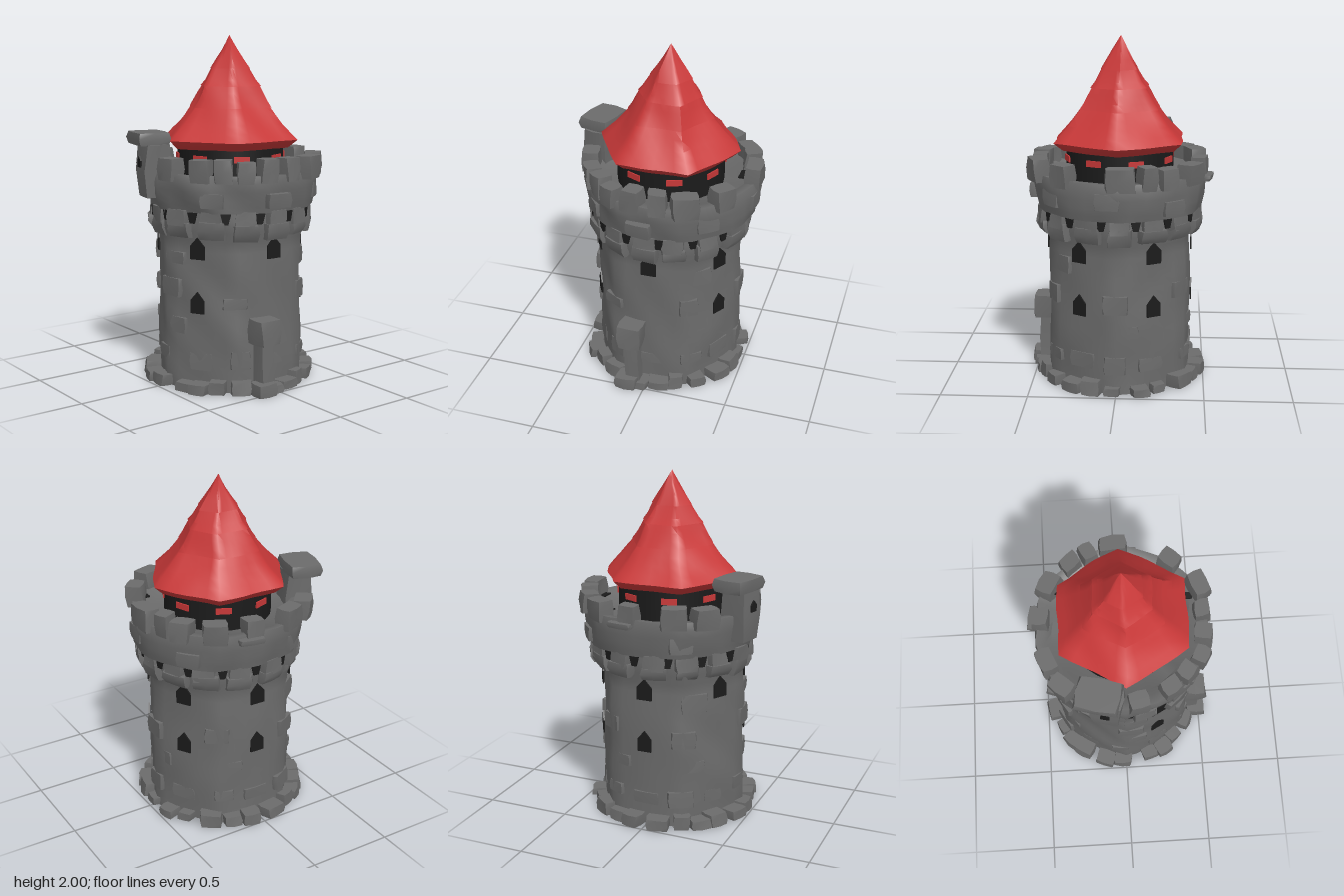
import * as THREE from 'three';
import { toCreasedNormals } from 'three/addons/utils/BufferGeometryUtils.js';

const material = (name, color) => {
  const m = new THREE.MeshStandardMaterial({ color });
  m.name = name;
  return m;
};

export function createModel() {
  const stone = material('stone grey', 0x6b6b6b);
  const red = material('roof red', 0xc83838);
  const dark = material('opening black', 0x1b1b1b);
  const tower = new THREE.Group();
  tower.name = 'tower';
  const deg = Math.PI / 180;

  let seed = 7;
  const rand = (a, b) => {
    seed = (seed * 16807) % 2147483647;
    return a + (b - a) * (seed / 2147483647);
  };

  const group = (name, z = 0) => {
    const g = new THREE.Group();
    g.name = name;
    g.position.z = z;
    tower.add(g);
    return g;
  };
  const add = (parent, name, geometry, mat) => {
    const mesh = new THREE.Mesh(geometry, mat);
    mesh.name = name;
    parent.add(mesh);
    return mesh;
  };

  // Hand-hewn unevenness: nudge vertices by a smooth wave of their position
  const weather = (geo, amp, offset, crease) => {
    const p = geo.attributes.position;
    for (let i = 0; i < p.count; i++) {
      const x = p.getX(i), y = p.getY(i), z = p.getZ(i);
      const a = Math.sin(x * 17 + y * 9 + offset) + Math.sin(z * 23 - y * 13 + offset * 2);
      const b = Math.sin(z * 15 + y * 11 - offset) + Math.sin(x * 21 + y * 19 + offset * 3);
      p.setXYZ(i, x + a * amp * 0.5, y, z + b * amp * 0.5);
    }
    return toCreasedNormals(geo, crease);
  };

  // Blend from circle to hexagon with corners on +z and -z
  const hexScale = (angle, hex) => {
    const t = (angle + Math.PI * 4) % (Math.PI / 3);
    return 1 + (Math.cos(Math.PI / 6) / Math.cos(t - Math.PI / 6) - 1) * hex;
  };

  // Revolved shell with a partly hexagonal plan
  const shell = (points, hex, amp, crease) => {
    const dense = [];
    points.forEach(([r, y], i) => {
      if (i) {
        const [r0, y0] = points[i - 1];
        const n = Math.max(1, Math.ceil(Math.abs(y - y0) / 0.07));
        for (let k = 1; k < n; k++) {
          dense.push(new THREE.Vector2(r0 + (r - r0) * k / n, y0 + (y - y0) * k / n));
        }
      }
      dense.push(new THREE.Vector2(r, y));
    });
    const geo = new THREE.LatheGeometry(dense, 36);
    const p = geo.attributes.position;
    for (let i = 0; i < p.count; i++) {
      const s = hexScale(Math.atan2(p.getX(i), p.getZ(i)), hex);
      p.setXYZ(i, p.getX(i) * s, p.getY(i), p.getZ(i) * s);
    }
    return weather(geo, amp, 0, crease);
  };

  // Rough worn block at an angle around the tower, from y0 to y1
  const block = (parent, name, angle, r, y0, y1, w, d, taper = 1, amp = 0.012) => {
    const geo = new THREE.BoxGeometry(w, y1 - y0, d, 2, 2, 2);
    const p = geo.attributes.position;
    for (let i = 0; i < p.count; i++) {
      const x = p.getX(i), y = p.getY(i), z = p.getZ(i);
      const worn = x && y && z ? 0.9 : 1;
      p.setXYZ(i, x * worn, y, z * worn * (y < 0 && z > 0 ? taper : 1));
    }
    const mesh = add(parent, name, weather(geo, amp, rand(0, 6), 0.9), stone);
    mesh.position.set(Math.sin(angle) * r, (y0 + y1) / 2, Math.cos(angle) * r);
    mesh.rotation.y = angle;
    return mesh;
  };

  // Dark opening plate, standing on its base at height y
  const opening = (parent, name, angle, r, y, outline) => {
    const s = new THREE.Shape(outline.map(([a, b]) => new THREE.Vector2(a, b)));
    const mesh = add(parent, name, new THREE.ExtrudeGeometry(s, { depth: 0.009, bevelEnabled: false }), dark);
    mesh.position.set(Math.sin(angle) * r, y, Math.cos(angle) * r);
    mesh.rotation.y = angle;
  };
  const pointed = (w, h) => [[-w / 2, 0], [w / 2, 0], [w / 2, h * 0.6], [0, h], [-w / 2, h * 0.6]];

  // Main wall with its dark underside
  const body = group('body', -0.012);
  add(body, 'wall', shell([[0.44, 0], [0.443, 0.3], [0.44, 0.62], [0.436, 0.86], [0.46, 0.92], [0.46, 1.05]],
    0.5, 0.007, 1), stone);
  const base = add(body, 'underside', new THREE.CircleGeometry(0.46, 24), dark);
  base.rotation.x = Math.PI / 2;

  // Windows: six above, four below
  const windows = group('windows', -0.012);
  for (const a of [28, 90, 150, 210, 270, 332]) opening(windows, 'upperWindow', a * deg, 0.414, 0.76, pointed(0.09, 0.125));
  for (const a of [28, 150, 210, 270]) opening(windows, 'lowerWindow', a * deg, 0.416, 0.45, pointed(0.085, 0.125));

  // Slightly raised wall stones, kept clear of the windows
  const bricks = group('wallStones', -0.012);
  for (let i = 0; i < 48; i++) {
    const row = Math.floor(i / 12);
    const a = ((i % 12) * 30 + (row % 2) * 12 + rand(-5, 5)) * deg;
    const y = 0.13 + row * 0.19 + rand(-0.03, 0.03);
    if (y > 0.3 && Math.abs(((a / deg + 360) % 60) - 30) < 17) continue;
    block(bricks, 'wallStone', a, 0.44 * hexScale(a, 0.5) - 0.012, y, y + rand(0.06, 0.11), rand(0.1, 0.16), 0.036, 1, 0.005);
  }

  // Loose footing stones with dark undersides
  const footing = group('footingStones', -0.005);
  for (let i = 0; i < 22; i++) {
    const a = (i * 360 / 22 + rand(-4, 4)) * deg;
    const w = rand(0.08, 0.13), d = rand(0.08, 0.12);
    const rock = block(footing, 'footingStone', a, rand(0.43, 0.455), 0.003, rand(0.045, 0.085), w, d, 1.1);
    const sole = add(footing, 'footingUnderside', new THREE.PlaneGeometry(w, d), dark);
    sole.position.set(rock.position.x, 0, rock.position.z);
    sole.rotation.set(Math.PI / 2, 0, -a);
  }

  // Bulging corbels with dark gaps beneath the parapet
  const corbels = group('corbels', -0.02);
  for (let i = 0; i < 15; i++) {
    const a = (i * 24 + 14 + rand(-2, 2)) * deg;
    block(corbels, 'corbel', a, 0.44, rand(0.87, 0.9), rand(0.96, 0.99), rand(0.12, 0.15), 0.075, 0.5);
    block(corbels, 'corbelTop', a, 0.435, 0.95, 1.04, 0.12, 0.075, 1.1);
    opening(corbels, 'corbelGap', (i * 24 + 2) * deg, 0.457, 0.97, [[-0.015, 0], [0.015, 0], [0.03, 0.06], [-0.03, 0.06]]);
  }

  // Flaring parapet ring and walkway
  const parapet = group('parapet', -0.03);
  parapet.position.x = -0.005;
  add(parapet, 'parapetWall', shell([[0.42, 1.03], [0.49, 1.03], [0.505, 1.1], [0.515, 1.2], [0.505, 1.24],
    [0.45, 1.235], [0.41, 1.19], [0, 1.19]], 0.25, 0.012, 0.9), stone);

  // Stones standing proud of the parapet: angle, bottom, top, radius
  [[84, 1.06, 1.14, 0.5], [-100, 1.195, 1.225, 0.51], [40, 1.06, 1.14, 0.475], [130, 1.08, 1.17, 0.475],
    [175, 1.1, 1.19, 0.485], [220, 1.05, 1.13, 0.475], [-60, 1.06, 1.15, 0.475]].forEach(([a, y0, y1, r]) =>
    block(parapet, 'parapetStone', a * deg, r, y0, y1, 0.14, 0.05, 0.9, 0.008));

  // Merlons: x, z, width
  const merlons = group('merlons', -0.03);
  [[-0.03, -0.51, 0.17], [0.29, -0.4, 0.11], [0.445, -0.235, 0.14], [0.455, -0.08, 0.11], [0.455, 0.07, 0.1],
    [0.425, 0.19, 0.1], [0.345, 0.285, 0.11], [0.25, 0.37, 0.12], [0.06, 0.445, 0.11], [-0.36, 0.325, 0.13],
    [-0.44, 0.18, 0.15], [-0.46, -0.08, 0.11], [-0.405, -0.285, 0.13], [-0.28, -0.41, 0.11], [-0.17, -0.46, 0.08]]
    .forEach(([x, z, w]) => block(merlons, 'merlon', Math.atan2(x, z + 0.03), Math.hypot(x, z + 0.03),
      1.2, rand(1.315, 1.335), w, 0.095));

  // Dark gaps at the back of the walkway: x, z, width, depth
  [[-0.04, -0.435, 0.09, 0.035], [0.29, -0.335, 0.045, 0.03], [0.39, -0.19, 0.05, 0.04], [-0.34, -0.265, 0.08, 0.05]]
    .forEach(([x, z, w, d]) => {
      const gap = add(parapet, 'walkwayGap', new THREE.BoxGeometry(w, 0.008, d), dark);
      gap.position.set(x, 1.24, z + 0.03);
    });

  // Watch box hanging on the front of the parapet
  const watch = group('watchBox');
  const wa = -0.24;
  block(watch, 'watchBoxShaft', wa, 0.455, 1.09, 1.39, 0.165, 0.16, 0.85);
  block(watch, 'watchBoxCap', wa - 0.1, 0.472, 1.385, 1.455, 0.25, 0.19, 1, 0.006).rotation.y = wa;
  opening(watch, 'watchBoxWindow', wa, 0.536, 1.26, pointed(0.05, 0.065));

  // Narrow buttress on the left side
  const buttress = group('buttress');
  for (const [name, a, r, y0, y1, w, d] of [['buttressShaft', 80, 0.45, 0, 0.32, 0.09, 0.1],
    ['buttressHead', 80, 0.46, 0.29, 0.43, 0.135, 0.135], ['buttressFoot', 78, 0.48, 0, 0.07, 0.13, 0.12]]) {
    block(buttress, name, a * deg, r, y0, y1, w, d).rotation.y = 90 * deg;
  }

  // Dark inner drum with red chinks
  const drum = group('innerDrum', -0.02);
  const core = add(drum, 'drumWall', new THREE.CylinderGeometry(0.31, 0.31, 0.2, 24, 1), dark);
  core.position.y = 1.28;
  for (let i = 0; i < 8; i++) {
    const a = (i * 45 + 20) * deg;
    const chink = add(drum, 'chink', new THREE.BoxGeometry(0.09, 0.035, 0.008), red);
    chink.position.set(Math.sin(a) * 0.312, 1.31, Math.cos(a) * 0.312);
    chink.rotation.y = a;
  }

  // Six-sided spire in overlapping tiers
  const roof = group('roof', -0.018);
  add(roof, 'spire', shell([[0, 1.38], [0.34, 1.36], [0.365, 1.365], [0.415, 1.41], [0.325, 1.5], [0.245, 1.595],
    [0.255, 1.59], [0.225, 1.63], [0.175, 1.715], [0.185, 1.71], [0.155, 1.745], [0.115, 1.815], [0.122, 1.81],
    [0.05, 1.92], [0, 2]], 0.95, 0.009, 0.9), red);

  return tower;
}
